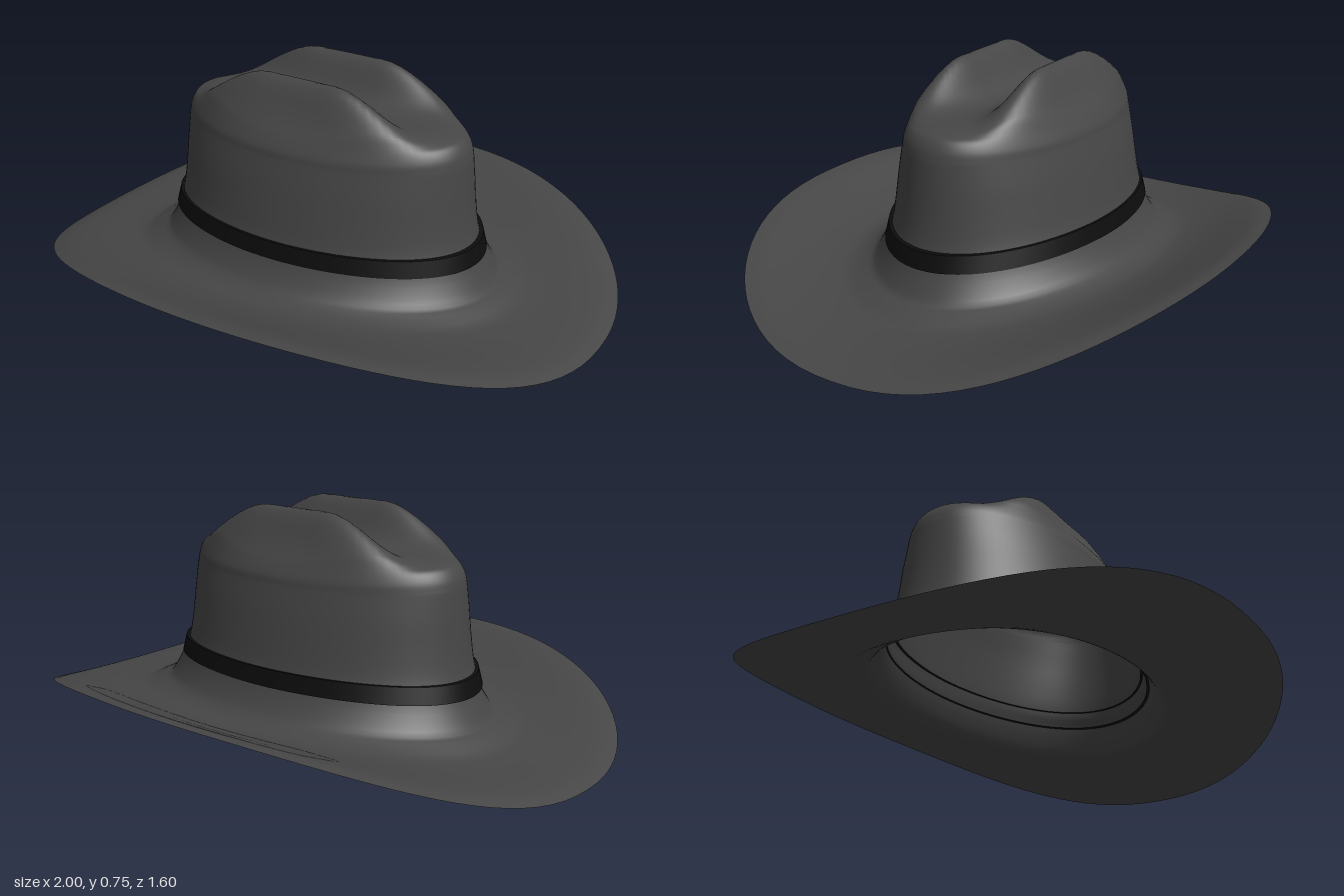
import * as THREE from 'three';

const SEGMENTS = 96;
const V = (x, y, z) => new THREE.Vector3(x, y, z);
const sample = (points, n) => new THREE.CatmullRomCurve3(points.map(p => V(...p))).getPoints(n);
const power = (v, e) => Math.sign(v) * Math.abs(v) ** e;

// Downward sweep of the brim towards both ends, with a slight tilt along x
const bend = x => 0.2 * Math.abs(x) ** 2.6 - 0.0125 * x;

// Joins closed rings of points (ordered from the outside in) into a smooth skin
function loft(rings) {
  const positions = [], index = [];
  for (const ring of rings) {
    for (let i = 0; i < SEGMENTS; i++) {
      const p = ring(i / SEGMENTS * Math.PI * 2);
      positions.push(p.x, p.y, p.z);
    }
  }
  for (let r = 0; r < rings.length - 1; r++) {
    for (let i = 0; i < SEGMENTS; i++) {
      const j = (i + 1) % SEGMENTS;
      const a = r * SEGMENTS + i, b = r * SEGMENTS + j;
      const c = a + SEGMENTS, d = b + SEGMENTS;
      index.push(a, c, b, b, c, d);
    }
  }
  const geometry = new THREE.BufferGeometry();
  geometry.setAttribute('position', new THREE.Float32BufferAttribute(positions, 3));
  geometry.setIndex(index);
  geometry.computeVertexNormals();
  return geometry;
}

// Brim: u runs from the crown (0) to the rim (1), with a valley between
function brimRings() {
  const profile = sample([[1, 0.214, 0], [0.9, 0.207, 0], [0.77, 0.185, 0], [0.586, 0.15, 0],
    [0.425, 0.125, 0], [0.264, 0.113, 0], [0.126, 0.14, 0], [0.046, 0.19, 0], [0, 0.235, 0]], 32);
  return profile.map(({ x: u, y: h }) => t => {
    const e = 2 / (2 + 0.2 * u);
    const x = (0.565 + 0.435 * u) * power(Math.cos(t), e);
    const z = (0.362 + 0.436 * u) * power(Math.sin(t), e);
    const depth = u > 0.126 ? 0.7 + 0.3 * Math.sin(t) ** 2 : 1;
    const ease = THREE.MathUtils.smoothstep(u, 0.05, 0.264);
    const y = 0.214 + (h - 0.214) * (1 - ease + ease * depth);
    return V(x, y - bend(x) * (0.4 + 0.6 * THREE.MathUtils.smoothstep(u, 0, 0.35)), z);
  });
}

// Crown wall: points are half length, height, half width
function wallRings() {
  const profile = sample([[0.565, 0.235, 0.362], [0.55, 0.29, 0.347], [0.54, 0.36, 0.333],
    [0.533, 0.45, 0.315], [0.527, 0.53, 0.295]], 16).slice(1);
  return profile.map(p => t => {
    const x = p.x * Math.cos(t);
    const fade = 0.4 * (1 - THREE.MathUtils.smoothstep(p.y, 0.235, 0.45));
    return V(x - 0.006, p.y - bend(x) * fade, p.z * Math.sin(t));
  });
}

// Crown top: a shallow cap with two long ridges and a crease between them
function topRings() {
  // Points are scale, height at the ends, height at the sides
  const profile = sample([[1, 0.53, 0.53], [0.985, 0.565, 0.552], [0.95, 0.595, 0.572],
    [0.9, 0.607, 0.59], [0.8, 0.618, 0.61], [0.65, 0.621, 0.62], [0.4, 0.62, 0.62],
    [0.2, 0.618, 0.618], [0, 0.617, 0.617]], 48).slice(1);
  return profile.map(p => t => {
    const x = 0.527 * p.x * Math.cos(t), z = 0.295 * p.x * Math.sin(t);
    const along = 1 - THREE.MathUtils.smoothstep(Math.abs(x), 0.12, 0.48);
    const centre = 0.5 + 0.25 * x * x;
    const across = Math.exp(-(((Math.abs(z) / 0.295 - centre) / 0.235) ** 2));
    const edge = THREE.MathUtils.smoothstep(1 - p.x, 0, 0.12);
    const y = THREE.MathUtils.lerp(p.y, p.z, Math.sin(t) ** 2);
    return V(x - 0.006, y + 0.131 * along * across * edge, z);
  });
}

// Band: a closed strip of four corners around the foot of the crown
function bandSkin(a0, b0, y0, a1, b1, y1) {
  const edge = (a, b, h) => t => {
    const x = a * Math.cos(t);
    return V(x - 0.005, h - bend(x) * 0.4, b * Math.sin(t));
  };
  return loft([edge(a0, b0, y0), edge(a1, b1, y1)]);
}

export function createModel() {
  const felt = new THREE.MeshStandardMaterial({ color: 0x464646, side: THREE.DoubleSide });
  felt.name = 'charcoal felt';
  const ribbon = new THREE.MeshStandardMaterial({ color: 0x0d0d0d, side: THREE.DoubleSide });
  ribbon.name = 'black ribbon';

  const model = new THREE.Group();
  model.name = 'hat';
  const add = (parent, name, geometry, material) => {
    const mesh = new THREE.Mesh(geometry, material);
    mesh.name = name;
    parent.add(mesh);
  };

  add(model, 'brimAndCrown', loft([...brimRings(), ...wallRings(), ...topRings()]), felt);

  const band = new THREE.Group();
  band.name = 'hatBand';
  add(band, 'bandFace', bandSkin(0.582, 0.373, 0.218, 0.568, 0.36, 0.272), ribbon);
  add(band, 'bandTop', bandSkin(0.568, 0.36, 0.272, 0.545, 0.342, 0.272), ribbon);
  add(band, 'bandUnderside', bandSkin(0.565, 0.362, 0.22, 0.582, 0.373, 0.218), ribbon);
  model.add(band);
  return model;
}
